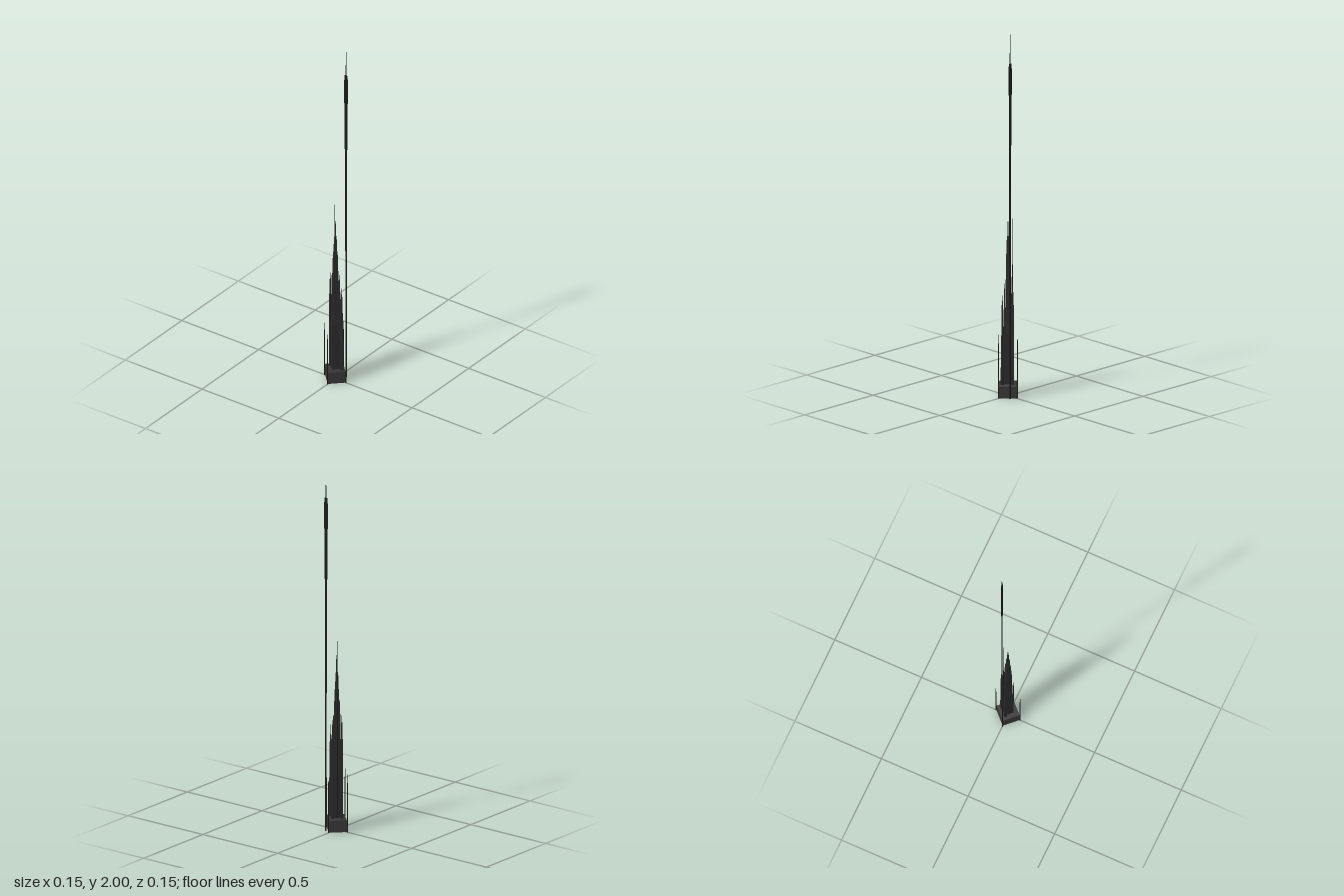
import * as THREE from 'three';

const mat = (name, color) => {
  const m = new THREE.MeshStandardMaterial({ color, flatShading: true });
  m.name = name;
  return m;
};

export function createModel() {
  const group = new THREE.Group();
  const stone = mat('dark stone', 0x363636);
  const slate = mat('slate', 0x2a2a2a);
  const iron = mat('black iron', 0x1a1a1a);

  // Four-sided tower from [radius, height] pairs, corners on the axes
  const spire = (name, material, profile, x = 0, z = 0, flat = 1) => {
    const points = profile.map(([r, y]) => new THREE.Vector2(r, y));
    const mesh = new THREE.Mesh(new THREE.LatheGeometry(points, 4), material);
    mesh.name = name;
    mesh.position.set(x, 0, z);
    mesh.scale.z = flat;
    group.add(mesh);
  };

  // Diamond plinth
  spire('plinth', stone, [[0, 0], [0.067, 0], [0.067, 0.065], [0.064, 0.07], [0, 0.071]]);

  // Central stepped tower with a pointed roof
  spire('centralTower', slate, [[0.031, 0.07], [0.031, 0.34], [0.021, 0.4], [0.017, 0.5],
    [0.016, 0.76], [0.011, 0.79], [0.010, 0.85], [0.005, 0.88], [0.004, 0.94], [0, 0.97]]);

  // Side towers leaning on the central one
  spire('rightTower', slate, [[0.010, 0.07], [0.009, 0.5], [0.006, 0.51], [0.005, 0.58], [0, 0.64]], -0.033, 0);
  spire('rightTowerInner', slate, [[0.007, 0.07], [0.006, 0.56], [0.003, 0.64], [0, 0.74]], -0.02, 0);
  spire('backTower', slate, [[0.010, 0.07], [0.009, 0.5], [0.006, 0.51], [0.005, 0.57], [0, 0.62]], 0, -0.035);
  spire('backTowerInner', slate, [[0.007, 0.07], [0.006, 0.58], [0.003, 0.64], [0, 0.72]], 0, -0.022);
  spire('leftTower', slate, [[0.014, 0.07], [0.008, 0.36], [0.006, 0.5], [0.003, 0.52], [0, 0.58]], 0.041, 0, 0.7);
  spire('leftTowerInner', slate, [[0.008, 0.07], [0.006, 0.4], [0.004, 0.56], [0, 0.65]], 0.025, 0);

  // Needle mast behind the right shoulder
  spire('needleMast', iron, [[0.003, 0.07], [0.003, 0.64], [0.0015, 0.86], [0.001, 1.05], [0, 1.05]], -0.017, -0.017);

  // Corner posts with finials
  for (let i = 0; i < 4; i++) {
    const a = i * Math.PI / 2;
    spire('cornerPost', iron, [[0, 0], [0.0035, 0], [0.0035, 0.27], [0.0015, 0.28], [0.001, 0.32], [0, 0.32]],
      Math.sin(a) * 0.07, Math.cos(a) * 0.07);
  }

  // Tall flattened mast standing free of the plinth
  spire('tallMast', iron, [[0, 0], [0.005, 0], [0.005, 0.76], [0.0065, 0.78], [0.0065, 1.39],
    [0.010, 1.39], [0.010, 1.67], [0.012, 1.67], [0.012, 1.81], [0.009, 1.84], [0.004, 1.84],
    [0.003, 1.9], [0.0015, 1.91], [0.001, 2], [0, 2]], 0.033, -0.05, 0.5);

  return group;
}
